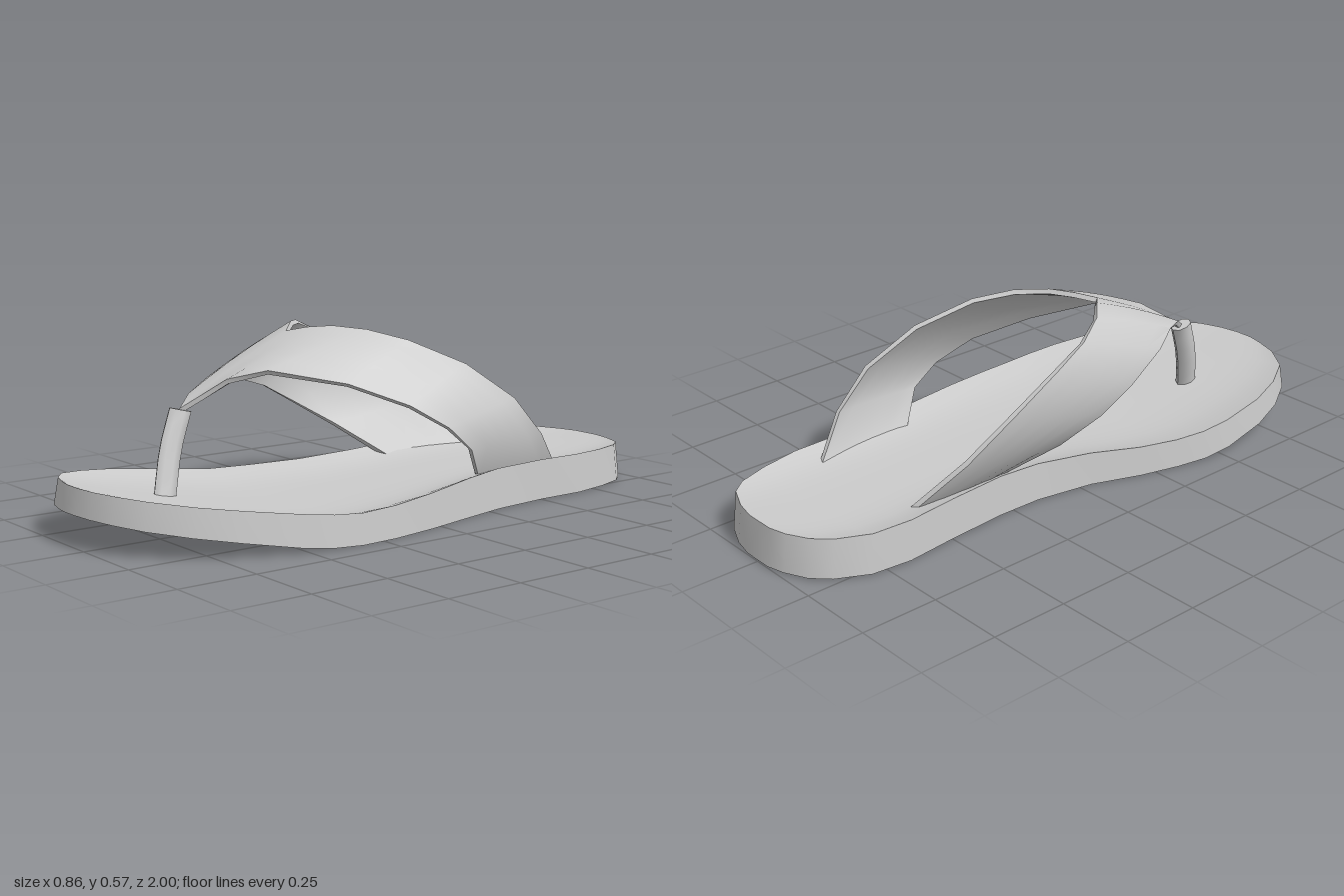
import * as THREE from 'three';
import { toCreasedNormals } from 'three/addons/utils/BufferGeometryUtils.js';

const V = (x, y, z) => new THREE.Vector3(x, y, z);

// Skin a list of closed rings (same point count) and cap both ends.
function loft(rings, crease) {
  const pos = [];
  const tri = (...pts) => pts.forEach((p) => pos.push(p.x, p.y, p.z));
  const n = rings[0].length;
  for (let i = 0; i < rings.length - 1; i++) {
    for (let j = 0; j < n; j++) {
      const k = (j + 1) % n;
      const a = rings[i][j], b = rings[i][k], c = rings[i + 1][k], d = rings[i + 1][j];
      tri(a, b, c);
      tri(a, c, d);
    }
  }
  const cap = (ring, flip) => {
    const mid = ring.reduce((s, p) => s.add(p), V(0, 0, 0)).divideScalar(n);
    for (let j = 0; j < n; j++) {
      const p = ring[j], q = ring[(j + 1) % n];
      if (flip) tri(mid, q, p);
      else tri(mid, p, q);
    }
  };
  cap(rings[0], true);
  cap(rings[rings.length - 1], false);
  const g = new THREE.BufferGeometry();
  g.setAttribute('position', new THREE.Float32BufferAttribute(pos, 3));
  return toCreasedNormals(g, crease);
}

// Sole: heel-to-toe stations of z, outline x on both sides, bottom y, rim y.
// The footbed is slightly dished below its rim.
function soleGeometry() {
  const stations = [
    [-1, -0.05, 0.05, 0.005, 0.125], [-0.985, -0.11, 0.12, 0.005, 0.125],
    [-0.95, -0.18, 0.2, 0.004, 0.126], [-0.9, -0.23, 0.24, 0.004, 0.127],
    [-0.8, -0.28, 0.272, 0.003, 0.128], [-0.67, -0.292, 0.295, 0.002, 0.13],
    [-0.5, -0.275, 0.297, 0.002, 0.131], [-0.3, -0.26, 0.314, 0.001, 0.13],
    [-0.15, -0.262, 0.345, 0, 0.122], [0.04, -0.297, 0.39, 0, 0.108],
    [0.2, -0.358, 0.418, 0, 0.098], [0.33, -0.395, 0.428, 0.001, 0.095],
    [0.43, -0.42, 0.422, 0.006, 0.102], [0.53, -0.43, 0.402, 0.018, 0.114],
    [0.69, -0.418, 0.348, 0.045, 0.135], [0.81, -0.382, 0.282, 0.064, 0.15],
    [0.91, -0.325, 0.19, 0.08, 0.163], [0.965, -0.24, 0.1, 0.09, 0.17],
    [0.99, -0.16, 0.02, 0.094, 0.172], [1, -0.11, -0.05, 0.096, 0.173],
  ];
  const inset = 0.985, steps = 12;
  return loft(stations.map(([z, l, r, bottom, rim]) => {
    const ring = [V(l, bottom, z), V(r, bottom, z)];
    const depth = 0.034 * (1 - z ** 6);
    for (let j = 0; j <= steps; j++) {
      const s = 1 - (2 * j) / steps;
      const x = ((l + r) / 2 + (s * (r - l)) / 2) * inset;
      ring.push(V(x, rim - depth * (1 - s ** 4), z * inset));
    }
    return ring;
  }), 0.75);
}

// Strap: a curved band between a rear edge and a front edge, meeting at the toe.
function strapGeometry() {
  const rear = new THREE.CatmullRomCurve3([
    V(-0.2, 0.09, -0.595), V(-0.31, 0.245, -0.47), V(-0.368, 0.385, -0.33), V(-0.382, 0.485, -0.18),
    V(-0.358, 0.53, -0.06), V(-0.308, 0.566, 0.04), V(-0.235, 0.573, 0.11), V(-0.17, 0.553, 0.175),
    V(-0.12, 0.566, 0.13), V(-0.055, 0.573, 0.08), V(0.03, 0.564, 0.01), V(0.12, 0.532, -0.085),
    V(0.215, 0.455, -0.24), V(0.278, 0.34, -0.39), V(0.288, 0.215, -0.5), V(0.215, 0.09, -0.63),
  ]);
  const front = new THREE.CatmullRomCurve3([
    V(-0.195, 0.09, -0.25), V(-0.325, 0.2, -0.12), V(-0.378, 0.28, 0), V(-0.387, 0.35, 0.12),
    V(-0.345, 0.405, 0.28), V(-0.265, 0.415, 0.41), V(-0.19, 0.385, 0.525), V(-0.155, 0.348, 0.58),
    V(-0.125, 0.385, 0.525), V(-0.085, 0.434, 0.455), V(-0.01, 0.46, 0.355), V(0.12, 0.415, 0.15),
    V(0.235, 0.348, 0), V(0.29, 0.275, -0.11), V(0.303, 0.2, -0.19), V(0.25, 0.085, -0.27),
  ]);
  const segments = 15, across = 5, thickness = 0.016, bulge = 0.008;
  const rings = [];
  for (let i = 0; i <= segments; i++) {
    const t = i / segments;
    const a = rear.getPoint(t), b = front.getPoint(t);
    const along = rear.getTangent(t).add(front.getTangent(t));
    const normal = b.clone().sub(a).cross(along).normalize();
    const outer = [], inner = [];
    for (let j = 0; j <= across; j++) {
      const s = j / across;
      const p = a.clone().lerp(b, s).addScaledVector(normal, bulge * Math.sin(Math.PI * s));
      outer.push(p);
      inner.unshift(p.clone().addScaledVector(normal, -thickness));
    }
    rings.push([...outer, ...inner]);
  }
  return loft(rings, 1);
}

// Toe post: a slightly bent eight-sided peg with a tilted top.
function postGeometry() {
  const path = new THREE.CatmullRomCurve3([
    V(-0.097, 0.08, 0.674), V(-0.134, 0.23, 0.627), V(-0.153, 0.345, 0.578),
  ]);
  const sides = 8, rings = [];
  for (const p of path.getPoints(5)) {
    const ring = [];
    for (let j = 0; j < sides; j++) {
      const angle = (j / sides) * Math.PI * 2;
      const dz = -0.037 * Math.sin(angle);
      ring.push(V(p.x + 0.028 * Math.cos(angle), p.y + 0.25 * dz, p.z + dz));
    }
    rings.push(ring);
  }
  return loft(rings, 0.9);
}

export function createModel() {
  const group = new THREE.Group();
  group.name = 'sandal';
  const material = new THREE.MeshStandardMaterial({ color: 0xcccccc });
  const add = (name, geometry) => {
    const mesh = new THREE.Mesh(geometry, material);
    mesh.name = name;
    group.add(mesh);
  };
  add('sole', soleGeometry());
  add('strap', strapGeometry());
  add('toePost', postGeometry());
  return group;
}
